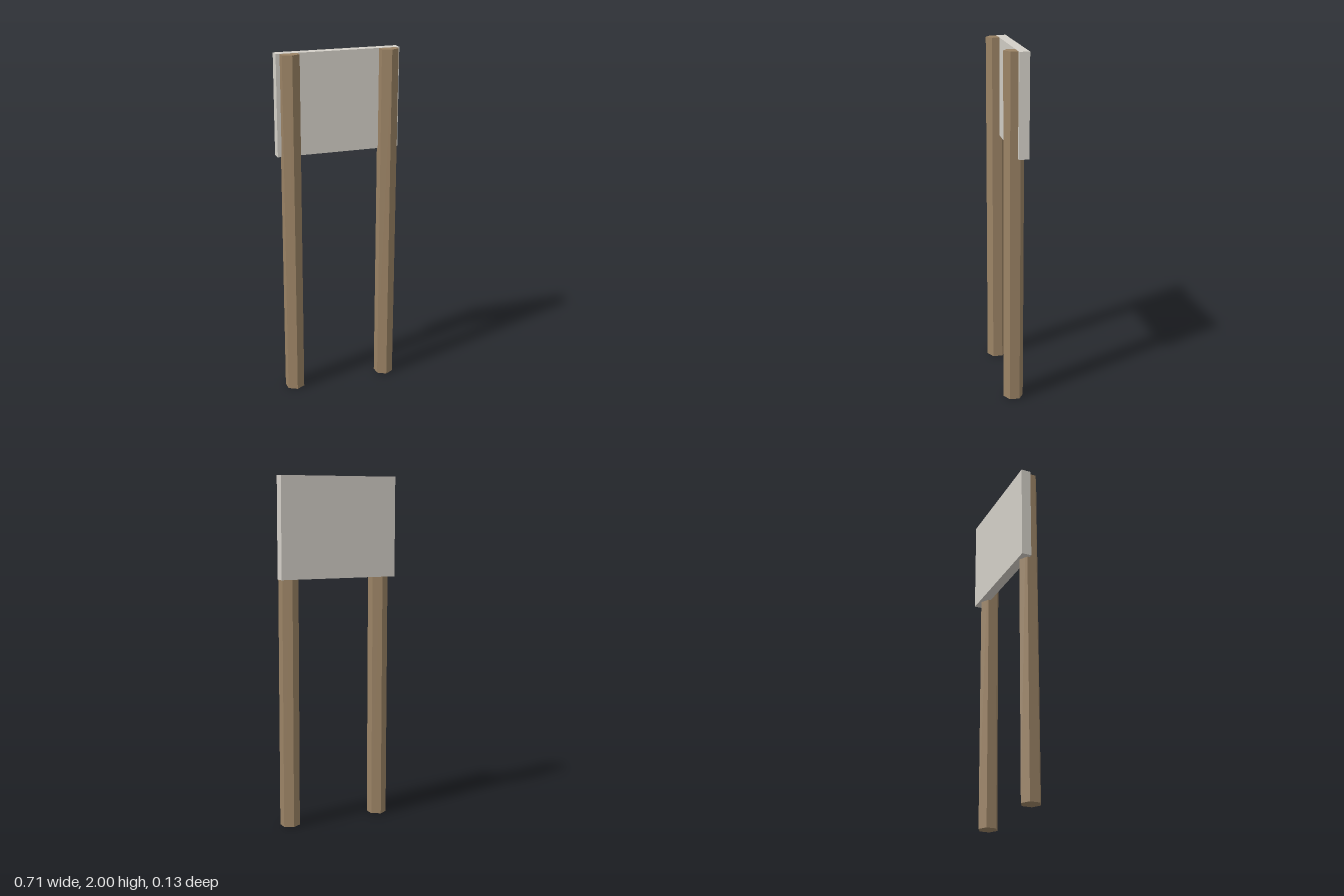
import * as THREE from 'three';

export function createModel() {
  const model = new THREE.Group();
  const wood = new THREE.MeshStandardMaterial({ color: 0x9b8365, flatShading: true });
  const panel = new THREE.MeshStandardMaterial({ color: 0xd4d0c8, flatShading: true });

  // Hexagonal posts with an edge facing front; tops sit a hair below the board's top
  const postHeight = 1.9995;
  const postGeometry = new THREE.CylinderGeometry(0.0571, 0.0571, postHeight, 6);
  for (const [name, side] of [['leftPost', 1], ['rightPost', -1]]) {
    const post = new THREE.Mesh(postGeometry, wood);
    post.name = name;
    post.position.set(side * 0.2857, postHeight / 2, 0.0072);
    model.add(post);
  }

  // Sign board across the back of the posts
  const board = new THREE.Mesh(new THREE.BoxGeometry(0.7143, 0.5714, 0.0571), panel);
  board.name = 'signBoard';
  board.position.set(0, 2 - 0.5714 / 2, -0.0357);
  model.add(board);

  return model;
}
